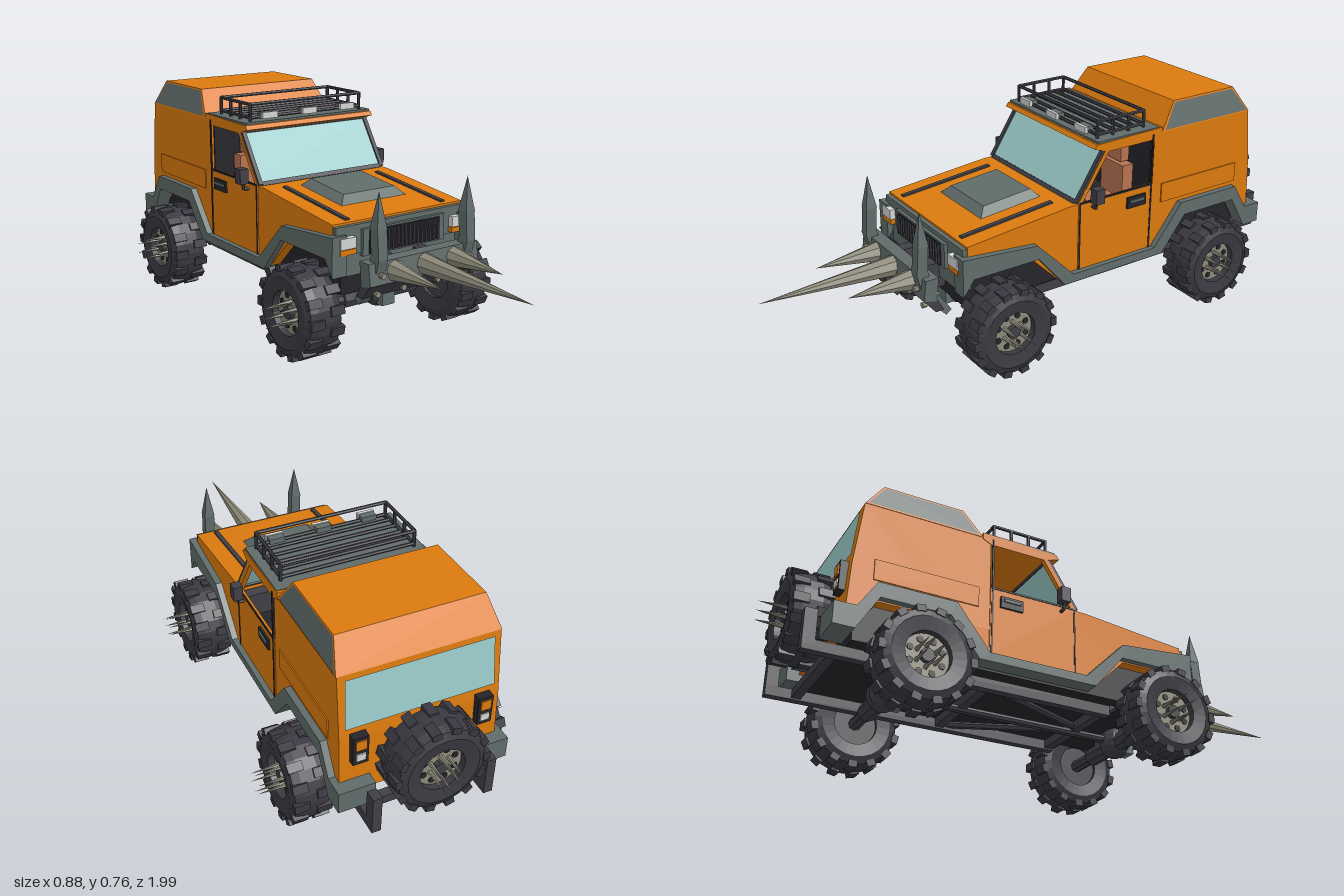
import * as THREE from 'three';

const mat = (name, color) => Object.assign(new THREE.MeshStandardMaterial({ color, flatShading: true, side: THREE.DoubleSide }), { name });

export function createModel() {
  const orange = mat('orange paint', 0xdb7a0e), grey = mat('grey trim', 0x606c6a), dark = mat('dark steel', 0x3f3f46),
    rubber = mat('rubber', 0x3a3941), black = mat('black', 0x252429), glass = mat('glass', 0x9acbca),
    white = mat('lamp white', 0xd2d4d2), tan = mat('spike metal', 0x8d8a7a), seatMat = mat('seat leather', 0xb87352);
  const car = new THREE.Group();
  car.name = 'offRoadTruck';

  const add = (name, geo, m, x = 0, y = 0, z = 0, parent = car) => {
    const mesh = new THREE.Mesh(geo, m);
    mesh.name = name;
    mesh.position.set(x, y, z);
    parent.add(mesh);
    return mesh;
  };
  // box given by its limits
  const box = (name, m, x0, x1, y0, y1, z0, z1, parent = car) =>
    add(name, new THREE.BoxGeometry(x1 - x0, y1 - y0, z1 - z0), m, (x0 + x1) / 2, (y0 + y1) / 2, (z0 + z1) / 2, parent);
  const pair = (name, m, x0, x1, ...r) => {
    box(name + 'Left', m, x0, x1, ...r);
    box(name + 'Right', m, -x1, -x0, ...r);
  };
  // side profile of [z, y] points, extruded across x
  const profile = (pts, width) => new THREE.ExtrudeGeometry(new THREE.Shape(pts.map(p => new THREE.Vector2(...p))),
    { depth: width, bevelEnabled: false }).translate(0, 0, -width / 2).rotateY(-Math.PI / 2);
  const rod = (name, m, a, b, r, sides = 6, parent = car) => {
    const A = new THREE.Vector3(...a), d = new THREE.Vector3(...b).sub(A);
    const mesh = add(name, new THREE.CylinderGeometry(r, r, d.length(), sides), m, 0, 0, 0, parent);
    mesh.position.copy(A).addScaledVector(d, 0.5);
    mesh.quaternion.setFromUnitVectors(new THREE.Vector3(0, 1, 0), d.normalize());
    return mesh;
  };
  const quad = (name, m, pts) => {
    const g = new THREE.BufferGeometry();
    g.setAttribute('position', new THREE.Float32BufferAttribute(pts.flat(), 3));
    g.setIndex([0, 1, 2, 0, 2, 3]);
    g.computeVertexNormals();
    return add(name, g, m);
  };
  // box whose top is narrowed to new limits
  const frustum = (x, y0, y1, z0, z1, tx, tz0, tz1) => {
    const g = new THREE.BoxGeometry(2, 1, 2), p = g.attributes.position;
    for (let i = 0; i < p.count; i++) {
      const top = p.getY(i) > 0, f = p.getZ(i) > 0;
      p.setXYZ(i, p.getX(i) * (top ? tx : x), top ? y1 : y0, top ? (f ? tz1 : tz0) : (f ? z1 : z0));
    }
    g.computeVertexNormals();
    return g;
  };

  // Main body with open cabin and wheel arches
  add('body', profile([[0.41, 0.34], [0.17, 0.34], [0.06, 0.23], [-0.37, 0.23], [-0.47, 0.34], [-0.7, 0.34], [-0.77, 0.25],
    [-0.8, 0.25], [-0.79, 0.45], [-0.765, 0.67], [-0.33, 0.67], [-0.33, 0.34], [-0.04, 0.34], [-0.02, 0.49], [0.03, 0.488], [0.41, 0.45]], 0.526), orange);
  for (const s of [1, -1]) {
    add('door', profile([[-0.015, 0.25], [-0.33, 0.25], [-0.33, 0.49], [-0.015, 0.49]], 0.012), orange, s * 0.26);
    add('fenderFlare', profile([[0.44, 0.42], [0.16, 0.395], [0.015, 0.25], [-0.335, 0.25], [-0.45, 0.395], [-0.71, 0.395],
      [-0.77, 0.3], [-0.84, 0.3], [-0.84, 0.225], [-0.77, 0.225], [-0.7, 0.345], [-0.47, 0.345], [-0.37, 0.22], [0.05, 0.22],
      [0.155, 0.345], [0.4, 0.345], [0.44, 0.29]], 0.055), grey, s * 0.2575);
    quad('capSideWindow', grey, [[0.2655, 0.675, -0.375], [0.2435, 0.758, -0.43], [0.2435, 0.758, -0.695], [0.2655, 0.675, -0.755]]
      .map(([x, y, z]) => [s * x, y, z]));
  }
  pair('doorSeamFront', black, 0.263, 0.268, 0.25, 0.49, -0.022, -0.017);
  pair('doorSeamRear', black, 0.263, 0.268, 0.25, 0.67, -0.325, -0.319);
  pair('doorSill', black, 0.263, 0.268, 0.487, 0.493, -0.32, -0.02);
  pair('doorHandle', black, 0.264, 0.274, 0.425, 0.465, -0.295, -0.215);
  pair('handleGrip', grey, 0.27, 0.279, 0.445, 0.455, -0.285, -0.225);
  pair('sidePanel', orange, 0.262, 0.267, 0.41, 0.48, -0.72, -0.37);
  box('underbody', black, -0.225, 0.225, 0.215, 0.4, -0.76, 0.4);

  // Raised rear cap and rear window
  add('rearCap', frustum(0.265, 0.67, 0.764, -0.765, -0.36, 0.242, -0.7, -0.425), orange);
  const rearZ = y => -0.769 - (0.67 - y) * 0.114;
  quad('rearWindow', glass, [[-0.24, 0.655, rearZ(0.655)], [0.24, 0.655, rearZ(0.655)], [0.245, 0.49, rearZ(0.49)], [-0.245, 0.49, rearZ(0.49)]]);
  for (const s of [1, -1]) {
    box('tailLightHousing', black, s * 0.205 - 0.025, s * 0.205 + 0.025, 0.37, 0.47, -0.815, -0.785);
    box('tailLight', orange, s * 0.205 - 0.017, s * 0.205 + 0.017, 0.425, 0.46, -0.819, -0.814);
    box('reverseLight', white, s * 0.205 - 0.015, s * 0.205 + 0.015, 0.385, 0.41, -0.819, -0.814);
  }

  // Windscreen with frame and pillars
  const screen = new THREE.Group();
  screen.name = 'windscreen';
  screen.position.set(0, 0.49, -0.012);
  screen.rotation.x = -Math.atan2(0.11, 0.17);
  car.add(screen);
  box('windscreenGlass', glass, -0.25, 0.25, 0.01, 0.19, -0.004, 0.004, screen);
  for (const s of [1, -1]) {
    box('pillarFace', dark, s * 0.2565 - 0.0075, s * 0.2565 + 0.0075, 0, 0.205, 0, 0.01, screen);
    box('pillar', orange, s * 0.256 - 0.009, s * 0.256 + 0.009, 0, 0.205, -0.015, 0, screen);
  }
  box('frameBottom', dark, -0.25, 0.25, -0.005, 0.01, -0.01, 0.009, screen);
  box('frameTop', dark, -0.25, 0.25, 0.19, 0.205, -0.01, 0.009, screen);

  // Cab roof
  add('cabRoof', profile([[-0.075, 0.668], [-0.085, 0.682], [-0.36, 0.688], [-0.36, 0.665], [-0.33, 0.65], [-0.13, 0.65]], 0.53), orange);
  box('roofPanel', grey, -0.262, 0.262, 0.683, 0.69, -0.35, -0.09);

  // Roof rack and lamps
  for (const y of [0.702, 0.748]) {
    for (const z of [-0.11, -0.305]) rod('rackBar', dark, [-0.23, y, z], [0.23, y, z], 0.006);
    for (const x of [-0.23, 0.23]) rod('rackSideBar', dark, [x, y, -0.11], [x, y, -0.305], 0.006);
  }
  for (const x of [-0.23, 0.23]) for (const z of [-0.11, -0.175, -0.24, -0.305]) rod('rackPost', dark, [x, 0.685, z], [x, 0.75, z], 0.006);
  for (let i = 0; i < 4; i++) rod('rackSlat', dark, [-0.23, 0.702, -0.145 - i * 0.04], [0.23, 0.702, -0.145 - i * 0.04], 0.006);
  for (const x of [-0.163, 0, 0.163]) {
    box('roofLamp', white, x - 0.03, x + 0.03, 0.698, 0.72, -0.1, -0.088);
    box('roofLampHousing', grey, x - 0.026, x + 0.026, 0.7, 0.718, -0.125, -0.1);
  }

  // Cabin interior
  box('dashboard', dark, -0.25, 0.25, 0.4, 0.48, -0.07, -0.03);
  box('cabinFloor', black, -0.25, 0.25, 0.338, 0.348, -0.33, -0.04);
  box('cabinRearWall', black, -0.25, 0.25, 0.34, 0.65, -0.33, -0.325);
  for (const x of [-0.12, 0.12]) {
    box('seatCushion', seatMat, x - 0.06, x + 0.06, 0.36, 0.42, -0.3, -0.15);
    box('seatBack', seatMat, x - 0.06, x + 0.06, 0.4, 0.54, -0.31, -0.265);
    box('headrest', seatMat, x - 0.035, x + 0.035, 0.545, 0.605, -0.31, -0.275);
  }
  const steering = add('steeringWheel', new THREE.TorusGeometry(0.045, 0.006, 6, 16), black, 0.12, 0.48, -0.1);
  steering.rotation.x = -0.4;

  // Hood scoop and vents
  const slope = Math.atan2(0.038, 0.38);
  const scoop = add('hoodScoop', frustum(0.142, 0, 0.035, -0.125, 0.125, 0.105, -0.1, 0.085), grey, 0, 0.465, 0.165);
  scoop.rotation.x = slope;
  for (const x of [-0.195, 0.195]) {
    const vent = add('hoodVent', new THREE.BoxGeometry(0.016, 0.008, 0.35), dark, x, 0.471, 0.22);
    vent.rotation.x = slope;
  }

  // Front face: grille and headlights
  box('frontPanel', grey, -0.26, 0.26, 0.35, 0.443, 0.395, 0.425);
  box('lowerPanel', grey, -0.23, 0.23, 0.28, 0.35, 0.38, 0.42);
  box('grilleFrame', grey, -0.165, 0.165, 0.34, 0.427, 0.42, 0.437);
  box('grilleBack', black, -0.142, 0.142, 0.345, 0.421, 0.436, 0.44);
  for (let i = 0; i < 17; i++) box('grilleBar', dark, -0.139 + i * 0.017, -0.133 + i * 0.017, 0.347, 0.419, 0.439, 0.446);
  pair('headlight', white, 0.196, 0.256, 0.376, 0.411, 0.42, 0.444);
  pair('turnSignal', orange, 0.196, 0.256, 0.357, 0.374, 0.42, 0.443);

  // Front bumper, horns and rams
  add('bumperUpper', profile([[0.49, 0.35], [0.535, 0.35], [0.545, 0.28], [0.5, 0.27]], 0.44), grey);
  add('bumperLower', profile([[0.5, 0.28], [0.543, 0.28], [0.505, 0.232], [0.475, 0.232]], 0.44), dark);
  pair('bumperArm', dark, 0.05, 0.095, 0.24, 0.33, 0.38, 0.5);
  for (const x of [-0.178, 0.178]) {
    add('horn', profile([[0.51, 0.455], [0.545, 0.455], [0.553, 0.36], [0.53, 0.275], [0.455, 0.195], [0.435, 0.21], [0.49, 0.29], [0.515, 0.37]], 0.036), grey, x);
    const tip = add('hornTip', new THREE.ConeGeometry(0.027, 0.115, 4), grey, x, 0.51, 0.527);
    tip.rotation.y = Math.PI / 4;
    for (const [y, z] of [[0.31, 0.543], [0.245, 0.517]]) rod('bolt', tan, [x, y, z], [x, y, z + 0.015], 0.01, 8);
  }
  for (const x of [-0.07, 0.07]) rod('bolt', tan, [x, 0.245, 0.505], [x, 0.245, 0.525], 0.01, 8);
  for (const [x, tip] of [[-0.12, 0.755], [0, 0.995], [0.12, 0.755]])
    add('ramSpike', new THREE.ConeGeometry(0.036, tip - 0.53, 8).rotateX(Math.PI / 2), tan, x, 0.313, (tip + 0.53) / 2);

  // Mirrors
  for (const s of [1, -1]) {
    box('mirror', dark, s * 0.291 - 0.016, s * 0.291 + 0.016, 0.49, 0.542, -0.09, -0.055);
    rod('mirrorArm', dark, [s * 0.255, 0.47, -0.07], [s * 0.285, 0.47, -0.07], 0.006);
    rod('mirrorStem', dark, [s * 0.285, 0.468, -0.07], [s * 0.288, 0.495, -0.07], 0.006);
  }

  // Chassis rails, crossmembers and rear bumper
  pair('chassisRail', dark, 0.175, 0.205, 0.165, 0.2, -0.9, 0.15);
  pair('rearUpright', dark, 0.175, 0.205, 0.165, 0.3, -0.9, -0.86);
  pair('rearBumper', grey, 0.165, 0.285, 0.225, 0.3, -0.84, -0.77);
  for (const z of [0.13, -0.3, -0.8]) box('crossmember', dark, -0.2, 0.2, 0.17, 0.2, z - 0.015, z + 0.015);
  for (const s of [1, -1]) {
    rod('chassisBrace', dark, [s * 0.19, 0.185, -0.3], [s * 0.02, 0.185, 0.12], 0.012);
    rod('railHanger', dark, [s * 0.19, 0.18, 0.14], [s * 0.15, 0.24, 0.22], 0.014);
  }
  box('spareMount', dark, -0.05, 0.05, 0.3, 0.41, -0.83, -0.78);

  // Axles
  for (const z of [0.3, -0.57]) {
    rod('axle', dark, [-0.28, 0.157, z], [0.28, 0.157, z], 0.022, 8);
    for (const s of [1, -1]) {
      rod('axleSleeve', dark, [s * 0.03, 0.157, z], [s * 0.15, 0.157, z], 0.032, 8);
      box('axleBracket', dark, s * 0.08 - 0.02, s * 0.08 + 0.02, 0.175, 0.24, z - 0.02, z + 0.02);
    }
    add('differential', new THREE.SphereGeometry(0.055, 10, 8), dark, 0, 0.162, z);
    box('differentialCover', grey, -0.026, 0.026, 0.125, 0.19, z + 0.02, z + 0.062);
  }
  rod('driveShaft', dark, [0, 0.17, 0.28], [0, 0.17, -0.55], 0.014, 8);

  // Wheels, hub facing +x before placing
  const tyreGeo = new THREE.LatheGeometry([[0.074, -0.058], [0.118, -0.066], [0.142, -0.056], [0.149, -0.03], [0.149, 0.03],
    [0.142, 0.056], [0.118, 0.066], [0.074, 0.058], [0.074, -0.058]].map(p => new THREE.Vector2(...p)), 24).rotateZ(-Math.PI / 2);
  const treadGeo = new THREE.BoxGeometry(0.05, 0.022, 0.03);
  const makeWheel = (name, x, y, z, turn) => {
    const w = new THREE.Group();
    w.name = name;
    w.position.set(x, y, z);
    w.rotation.y = turn;
    car.add(w);
    add('tyre', tyreGeo, rubber, 0, 0, 0, w);
    for (let i = 0; i < 28; i++) {
      const a = i / 28 * Math.PI * 2;
      const t = add('treadBlock', treadGeo, rubber, i % 2 ? 0.038 : -0.038, Math.cos(a) * 0.144, Math.sin(a) * 0.144, w);
      t.rotation.x = a;
    }
    rod('rim', tan, [-0.04, 0, 0], [0.035, 0, 0], 0.075, 20, w);
    rod('rimBack', dark, [-0.045, 0, 0], [-0.035, 0, 0], 0.075, 20, w);
    rod('hub', dark, [0.03, 0, 0], [0.052, 0, 0], 0.022, 10, w);
    for (let i = 0; i < 8; i++) {
      const a = (i + 0.5) / 8 * Math.PI * 2, c = Math.cos(a), s = Math.sin(a);
      rod('rimHole', black, [0.033, c * 0.055, s * 0.055], [0.038, c * 0.055, s * 0.055], 0.011, 8, w);
    }
    for (let i = 0; i < 6; i++) {
      const a = i / 6 * Math.PI * 2;
      add('hubSpike', new THREE.ConeGeometry(0.008, 0.1, 6).rotateZ(-Math.PI / 2), tan, 0.083, Math.cos(a) * 0.034, Math.sin(a) * 0.034, w);
    }
  };
  for (const z of [0.3, -0.57]) {
    makeWheel('wheelLeft', 0.307, 0.156, z, 0);
    makeWheel('wheelRight', -0.307, 0.156, z, Math.PI);
  }
  makeWheel('spareWheel', -0.005, 0.355, -0.863, Math.PI / 2);
  return car;
}
